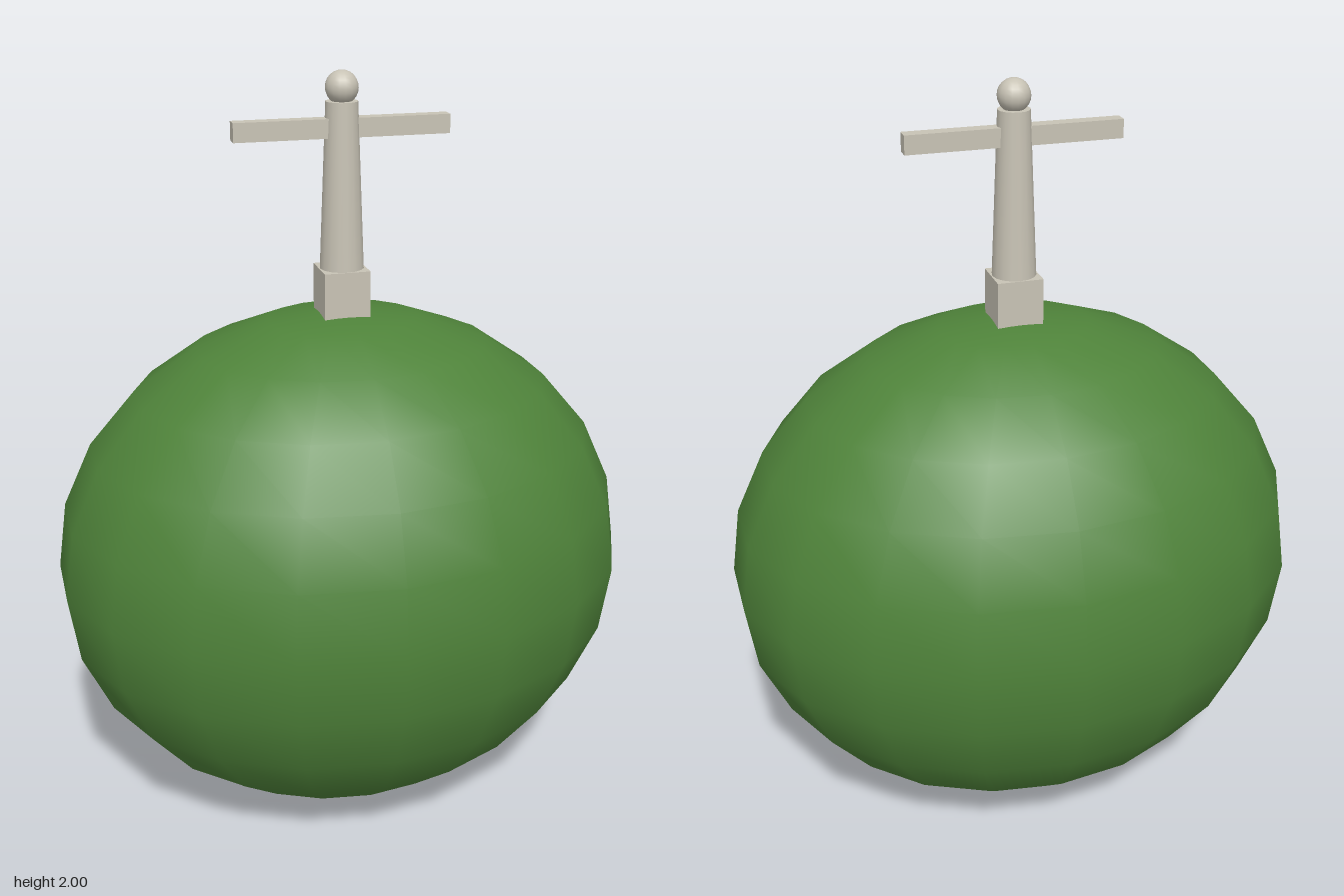
import * as THREE from 'three';

export function createModel() {
  const group = new THREE.Group();
  const green = new THREE.MeshStandardMaterial({ color: 0x4f833a });
  green.name = 'leaf green';
  const stone = new THREE.MeshStandardMaterial({ color: 0xc8c3b5 });
  stone.name = 'pale stone';

  const add = (name, geometry, material, y) => {
    const mesh = new THREE.Mesh(geometry, material);
    mesh.name = name;
    mesh.position.y = y;
    group.add(mesh);
    return mesh;
  };

  // Large smooth body, wider than deep, with a vertex line facing front and back
  const body = new THREE.SphereGeometry(1, 18, 12, Math.PI / 2);
  body.scale(0.777, 0.698, 0.62);
  add('body', body, green, 0.698);

  // Square foot sunk slightly into the body
  add('base', new THREE.BoxGeometry(0.12, 0.125, 0.12), stone, 1.4425);

  // Tapered round post
  add('post', new THREE.CylinderGeometry(0.041, 0.057, 0.42, 16), stone, 1.715);

  // Crossbar through the post
  add('crossbar', new THREE.BoxGeometry(0.555, 0.048, 0.037), stone, 1.861);

  // Round finial
  add('finial', new THREE.SphereGeometry(0.042, 16, 12), stone, 1.958);

  return group;
}
